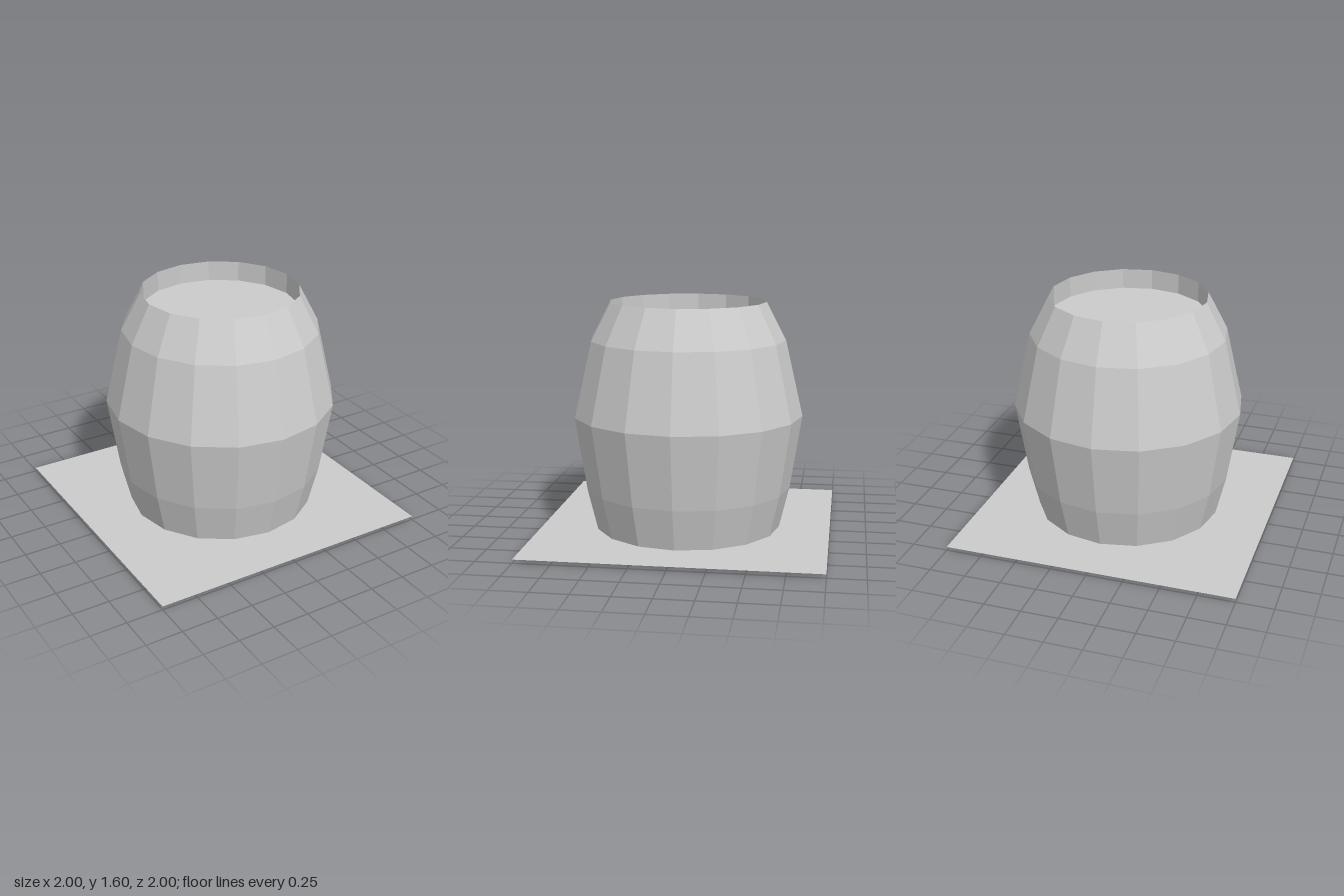
import * as THREE from 'three';

export function createModel() {
  const group = new THREE.Group();
  const material = new THREE.MeshStandardMaterial({ color: 0xcccccc, flatShading: true });

  // Barrel: 16 staves, closed bottom, lid sunk below the rim
  const profile = [
    [0, 0], [0.64, 0], [0.715, 0.31], [0.795, 0.82],
    [0.675, 1.34], [0.54, 1.6], [0.54, 1.46], [0, 1.46],
  ].map(([r, y]) => new THREE.Vector2(r, y));
  const barrel = new THREE.Mesh(new THREE.LatheGeometry(profile, 16), material);
  barrel.name = 'barrel';
  barrel.position.x = 0.025;
  group.add(barrel);

  // Thin square ground sheet, just above the barrel's underside
  const sheetMaterial = material.clone();
  sheetMaterial.side = THREE.DoubleSide;
  const sheet = new THREE.Mesh(new THREE.PlaneGeometry(2, 2).rotateX(-Math.PI / 2), sheetMaterial);
  sheet.name = 'groundSheet';
  sheet.position.y = 0.025;
  group.add(sheet);

  return group;
}
